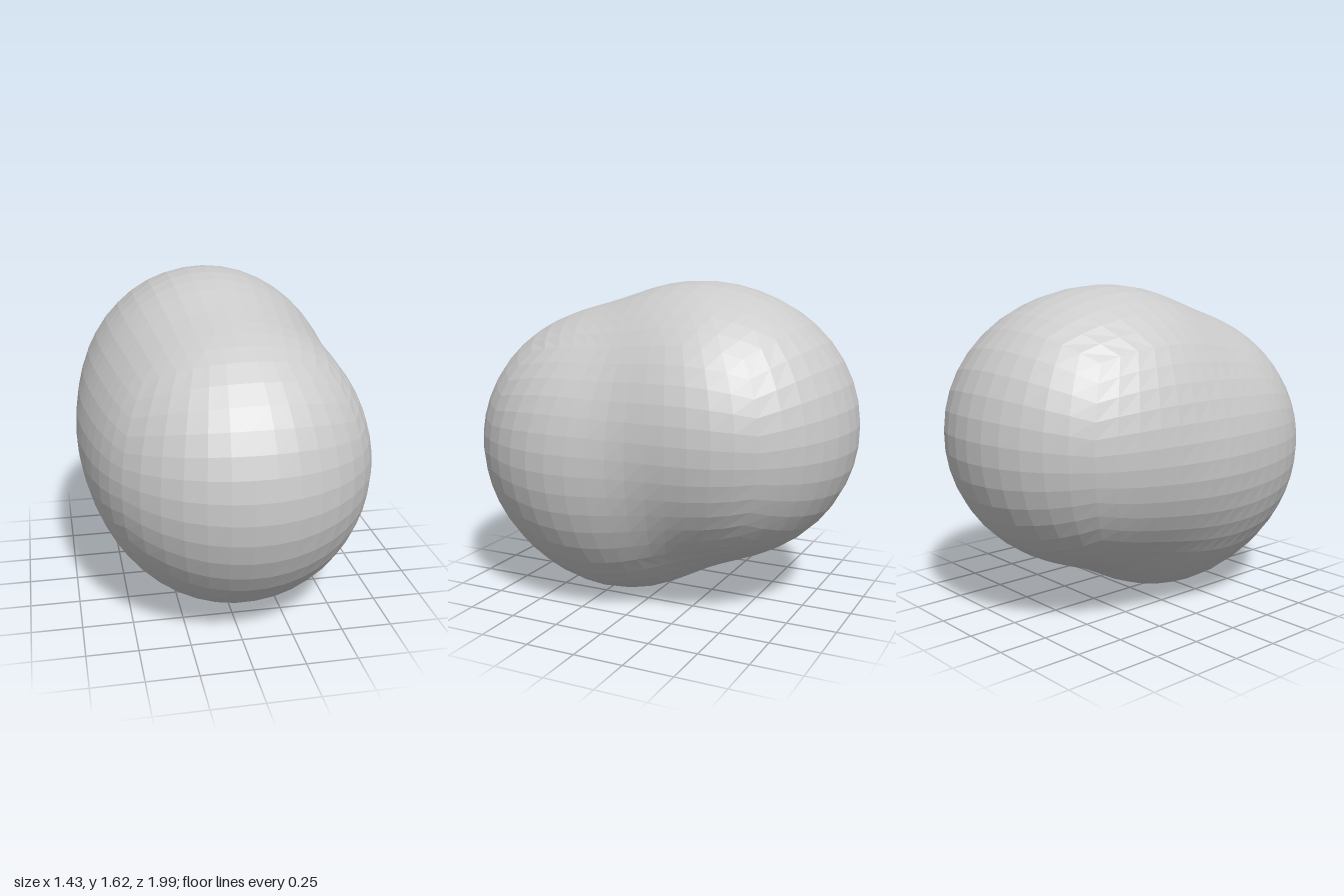
import * as THREE from 'three';

// Overlapping lobes that melt into one rounded body
const lobes = [
  { c: new THREE.Vector3(0.03, 0.78, 0.33), r: 0.67 },    // front
  { c: new THREE.Vector3(0.015, 0.90, -0.335), r: 0.655 }, // back
  { c: new THREE.Vector3(-0.04, 1.10, -0.10), r: 0.45 },  // crown
  { c: new THREE.Vector3(0.06, 0.55, 0.18), r: 0.52 },    // belly
  { c: new THREE.Vector3(-0.24, 0.80, 0.0), r: 0.39 },    // side swelling
];
const BLEND = 0.1;

// Smooth-union distance: negative inside the body
function distance(p) {
  let sum = 0;
  for (const { c, r } of lobes) sum += Math.exp((r - p.distanceTo(c)) / BLEND);
  return -BLEND * Math.log(sum);
}

// Bisect along a direction from the middle until the surface is met
function surfacePoint(origin, dir) {
  let near = 0, far = 2;
  const p = new THREE.Vector3();
  for (let i = 0; i < 30; i++) {
    const mid = (near + far) / 2;
    p.copy(origin).addScaledVector(dir, mid);
    if (distance(p) < 0) near = mid; else far = mid;
  }
  return p;
}

export function createModel() {
  const group = new THREE.Group();
  group.name = 'blob';

  // Gridded box pushed out onto the blended surface
  const geo = new THREE.BoxGeometry(2, 2, 2, 12, 12, 14);
  const pos = geo.attributes.position;
  const origin = new THREE.Vector3(0, 0.83, 0);
  const dir = new THREE.Vector3();
  const even = (u) => Math.tan(u * Math.PI / 4);
  for (let i = 0; i < pos.count; i++) {
    dir.set(even(pos.getX(i)), even(pos.getY(i)), 1.25 * even(pos.getZ(i))).normalize();
    const p = surfacePoint(origin, dir);
    pos.setXYZ(i, p.x, p.y, p.z);
  }

  // Stand it on the floor
  geo.computeBoundingBox();
  geo.translate(0, -geo.boundingBox.min.y, 0);
  geo.computeVertexNormals();

  const body = new THREE.Mesh(geo, new THREE.MeshStandardMaterial({ color: 0xcccccc, flatShading: true }));
  body.name = 'body';
  group.add(body);
  return group;
}
